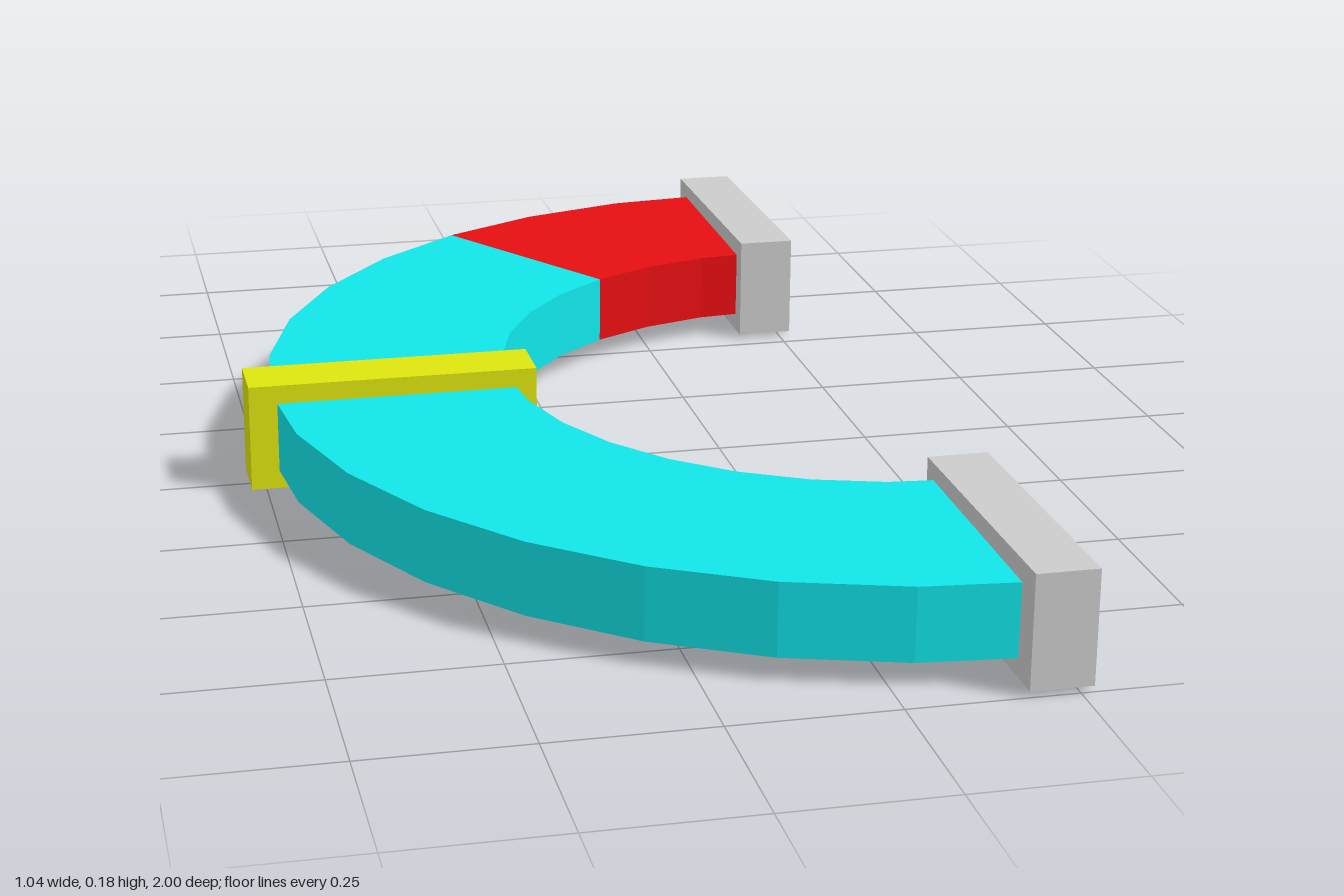
import * as THREE from 'three';

const CENTER_X = 0.47, OUTER = 0.955, INNER = 0.572;
const STEP = Math.PI / 16; // the half ring has 16 flat segments

function part(name, geometry, color = 0xcccccc) {
  const material = new THREE.MeshStandardMaterial({ color, flatShading: true });
  const mesh = new THREE.Mesh(geometry, material);
  mesh.name = name;
  return mesh;
}

// Slab following the half ring from segment a to segment b (0 = back end, 16 = front end)
function ringSection(name, a, b, color) {
  const points = [];
  const add = (r, i) => {
    const t = Math.PI / 2 + i * STEP;
    points.push(new THREE.Vector2(CENTER_X + r * Math.cos(t), r * Math.sin(t)));
  };
  for (let i = a; i <= b; i++) add(OUTER, i);
  for (let i = b; i >= a; i--) add(INNER, i);
  const geometry = new THREE.ExtrudeGeometry(new THREE.Shape(points), {
    depth: 0.113, bevelEnabled: false,
  });
  geometry.rotateX(-Math.PI / 2);
  geometry.translate(0, 0.035, -0.002);
  return part(name, geometry, color);
}

export function createModel() {
  const model = new THREE.Group();
  model.name = 'halfRing';

  // Curved body in two colours
  model.add(ringSection('backArc', 0, 3, 0xe50e12));
  model.add(ringSection('mainArc', 3, 16, 0x11e5e8));

  // Collar around the middle of the arc
  const collar = part('collar', new THREE.BoxGeometry(0.46, 0.172, 0.095), 0xdfe50f);
  collar.position.set(-0.295, 0.092, -0.002);
  model.add(collar);

  // End blocks, very slightly tilted
  for (const [name, side] of [['frontEndBlock', 1], ['backEndBlock', -1]]) {
    const block = part(name, new THREE.BoxGeometry(0.093, 0.172, 0.461));
    block.position.set(0.473, 0.09 + side * 0.001, side * 0.768);
    block.rotation.x = -0.015;
    model.add(block);
  }
  return model;
}
